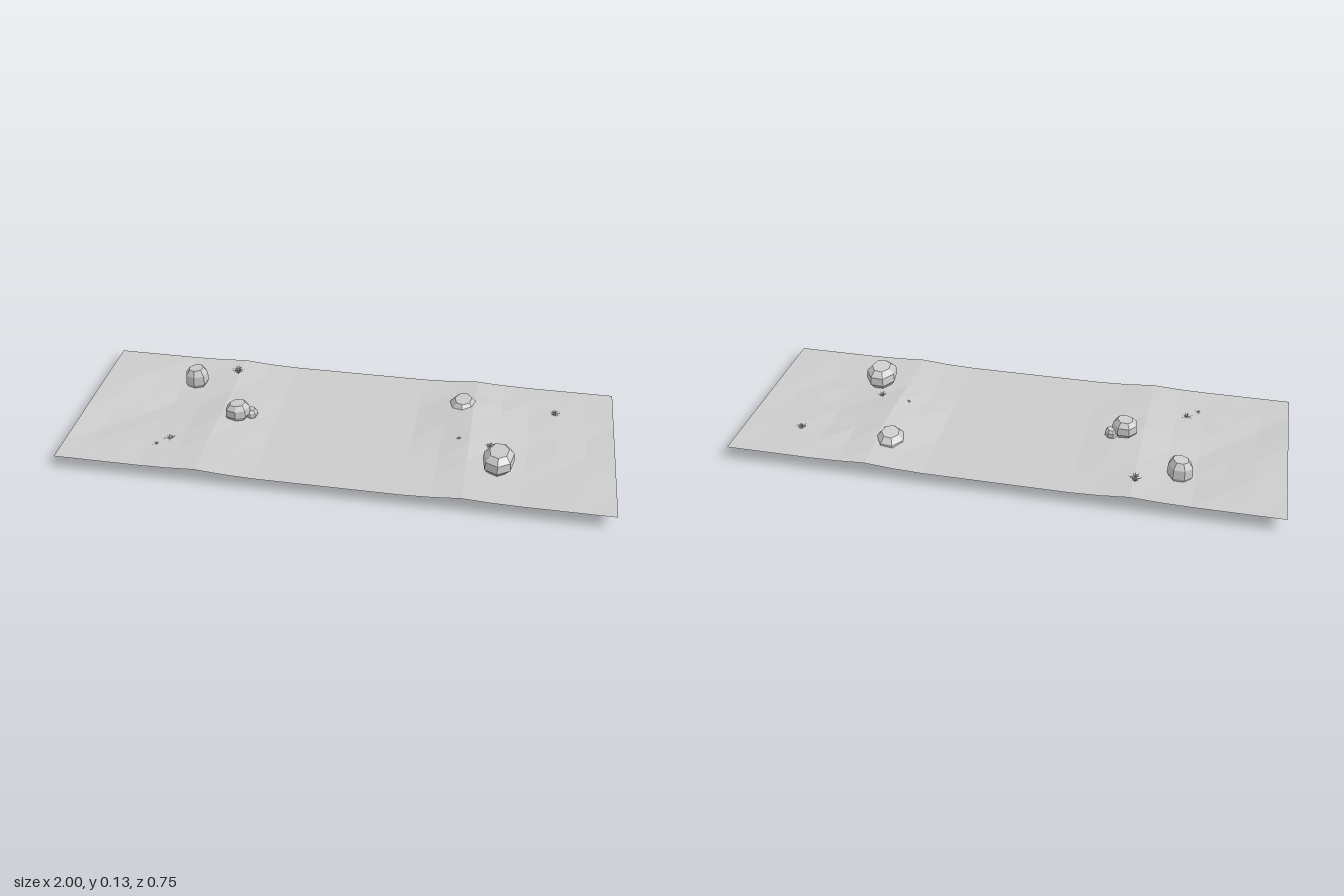
import * as THREE from 'three';

const stone = new THREE.MeshStandardMaterial({ color: 0xcccccc, flatShading: true });
const thin = new THREE.MeshStandardMaterial({ color: 0xcccccc, flatShading: true, side: THREE.DoubleSide });

function seeded(seed) {
  return () => {
    seed = (seed * 16807) % 2147483647;
    return seed / 2147483647;
  };
}

// Shoulder profile across the strip: [distance from centre line, height]
const profile = [[0, 0.04], [0.263, 0.04], [0.368, 0.044], [0.474, 0.053], [0.579, 0.047], [0.684, 0.045], [1, 0.045]];
// Mounds and hollows: x, z, height change, radius
const swells = [
  [0.46, -0.13, 0.022, 0.12], [0.5, 0.06, 0.01, 0.12],
  [-0.68, -0.05, -0.02, 0.13], [-0.88, 0.1, -0.013, 0.12], [-0.62, 0.2, -0.012, 0.1], [-0.42, 0.02, 0.005, 0.1],
];

function groundHeight(x, z) {
  const d = Math.min(Math.abs(x), 0.9999);
  const i = profile.findIndex((p) => p[0] > d);
  const [a, b] = [profile[i - 1], profile[i]];
  let y = a[1] + ((b[1] - a[1]) * (d - a[0])) / (b[0] - a[0]);
  if (d > 0.27 && d < 0.99 && Math.abs(z) < 0.37) {
    for (const [sx, sz, h, r] of swells) y += h * Math.exp(-((x - sx) ** 2 + (z - sz) ** 2) / (r * r));
  }
  return y;
}

// Flat road strip in the middle with uneven verges on both sides
function makeGround() {
  const geo = new THREE.PlaneGeometry(2, 0.75, 19, 7).rotateX(-Math.PI / 2);
  const pos = geo.attributes.position;
  const rand = seeded(71);
  for (let i = 0; i < pos.count; i++) {
    const x = pos.getX(i), z = pos.getZ(i), d = Math.abs(x);
    const inside = d > 0.3 && d < 0.99 && Math.abs(z) < 0.37;
    const noise = (rand() - 0.5) * 0.007;
    pos.setY(i, groundHeight(x, z) + (inside ? noise : 0));
  }
  geo.computeVertexNormals();
  const mesh = new THREE.Mesh(geo, thin);
  mesh.name = 'ground';
  return mesh;
}

// Faceted boulder: a stack of uneven rings with flat top and bottom
function makeRock(name, [x, y, z], [w, h, d], seed) {
  const sides = 7;
  const geo = new THREE.CylinderGeometry(1, 1, 1, sides, 3);
  const pos = geo.attributes.position;
  const rand = seeded(seed);
  const wobble = Array.from({ length: sides }, () => 0.92 + rand() * 0.12);
  const rings = [[-0.5, 0.62], [-0.14, 0.98], [0.25, 0.93], [0.5, 0.6]];
  for (let i = 0; i < pos.count; i++) {
    const px = pos.getX(i), pz = pos.getZ(i);
    const [ry, rr] = rings[Math.round((pos.getY(i) + 0.5) * 3)];
    const k = Math.round((Math.atan2(px, pz) / (2 * Math.PI)) * sides + sides) % sides;
    const r = rr * wobble[k];
    pos.setXYZ(i, (px * r * w) / 2, (ry + px * 0.04) * h, (pz * r * d) / 2);
  }
  geo.computeVertexNormals();
  const mesh = new THREE.Mesh(geo, stone);
  mesh.name = name;
  mesh.position.set(x, y, z);
  return mesh;
}

// Tuft of narrow pointed blades fanning out from one root
function makeTuft(name, x, z, radius, height, seed) {
  const rand = seeded(seed);
  const points = [];
  const blades = 26;
  for (let i = 0; i < blades; i++) {
    const a = (i / blades) * Math.PI * 2 + rand() * 0.3;
    const reach = radius * (0.25 + 0.75 * rand());
    const top = height * (1.05 - 0.55 * (reach / radius)) * (0.75 + 0.3 * rand());
    const c = Math.cos(a), s = Math.sin(a), half = radius * 0.06;
    const mid = [c * reach * 0.45, top * 0.7, s * reach * 0.45];
    const left = [mid[0] - s * half, mid[1], mid[2] + c * half];
    const right = [mid[0] + s * half, mid[1], mid[2] - c * half];
    points.push(0, -0.004, 0, ...left, ...right, ...left, c * reach, top, s * reach, ...right);
  }
  const geo = new THREE.BufferGeometry();
  geo.setAttribute('position', new THREE.Float32BufferAttribute(points, 3));
  geo.computeVertexNormals();
  const mesh = new THREE.Mesh(geo, thin);
  mesh.name = name;
  mesh.position.set(x, groundHeight(x, z), z);
  return mesh;
}

export function createModel() {
  const group = new THREE.Group();
  group.name = 'roadsideGround';
  group.add(makeGround());

  // Boulders: name, centre, size
  [
    ['backRightRock', [-0.628, 0.066, -0.195], [0.098, 0.088, 0.098]],
    ['middleRightRock', [-0.405, 0.075, 0.018], [0.1, 0.07, 0.098]],
    ['smallRock', [-0.358, 0.055, -0.002], [0.05, 0.04, 0.056]],
    ['largeRock', [0.585, 0.086, 0.175], [0.122, 0.078, 0.168]],
    ['buriedRock', [0.43, 0.04, -0.2], [0.11, 0.08, 0.146]],
  ].forEach(([name, at, size], i) => group.add(makeRock(name, at, size, 113 + i * 57)));

  // Grass: x, z, radius, height
  [
    [-0.48, -0.275, 0.031, 0.034],
    [0.78, -0.2, 0.026, 0.022],
    [-0.62, 0.19, 0.028, 0.022],
    [-0.66, 0.232, 0.018, 0.014],
    [0.55, 0.065, 0.024, 0.016],
    [0.435, 0.037, 0.014, 0.01],
  ].forEach(([x, z, r, h], i) => group.add(makeTuft('grassTuft' + (i + 1), x, z, r, h, 311 + i * 97)));

  return group;
}
